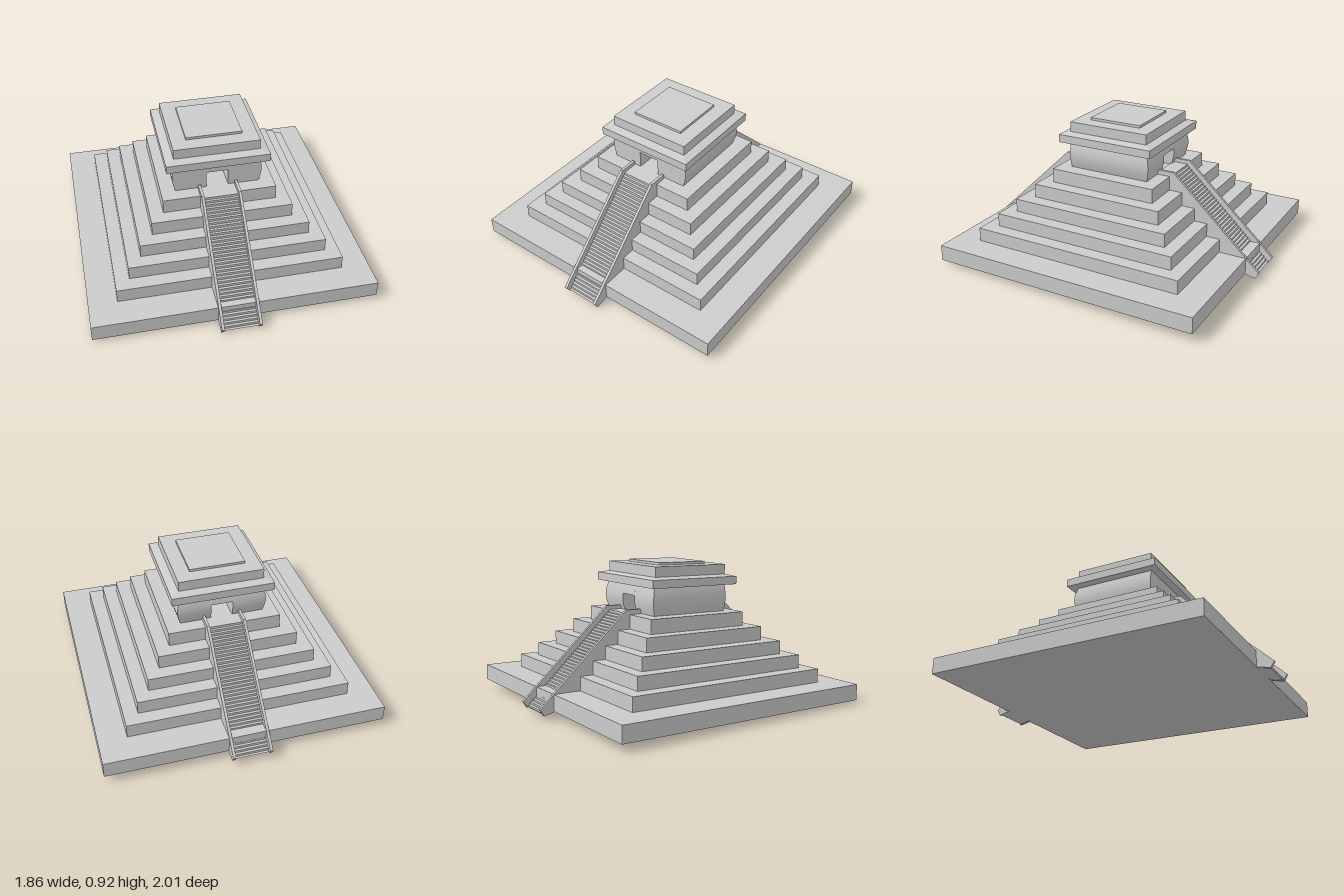
import * as THREE from 'three';

const grey = new THREE.MeshStandardMaterial({ color: 0xcccccc });

export function createModel() {
  const model = new THREE.Group();
  model.name = 'steppedPyramid';

  const add = (name, geometry, parent = model) => {
    const mesh = new THREE.Mesh(geometry, grey);
    mesh.name = name;
    parent.add(mesh);
    return mesh;
  };

  // Square slab between two heights; the top may be narrower than the bottom
  const slab = (name, half, y0, y1, topHalf = half) => {
    const geo = new THREE.BoxGeometry(2 * half, y1 - y0, 2 * half);
    const p = geo.attributes.position;
    for (let i = 0; i < p.count; i++) {
      if (p.getY(i) > 0) {
        p.setX(i, Math.sign(p.getX(i)) * topHalf);
        p.setZ(i, Math.sign(p.getZ(i)) * topHalf);
      }
    }
    geo.computeVertexNormals();
    add(name, geo).position.y = (y0 + y1) / 2;
  };

  // Terraces
  const halves = [0.9, 0.72, 0.63, 0.542, 0.452, 0.364];
  const levels = [0, 0.105, 0.195, 0.283, 0.37, 0.46, 0.553];
  halves.forEach((h, i) => slab('terrace' + (i + 1), h, levels[i], levels[i + 1]));

  // Temple walls: sides and back bulge outwards, the front is flat
  const wallBase = 0.553, wallTop = 0.735;
  const wall = (name, x0, x1, y0) => {
    const geo = new THREE.BoxGeometry(x1 - x0, wallTop - y0, 0.555, 1, 10, 1);
    geo.translate((x0 + x1) / 2, (y0 + wallTop) / 2, 0);
    const p = geo.attributes.position;
    for (let i = 0; i < p.count; i++) {
      const bulge = Math.sin(Math.PI * (p.getY(i) - wallBase) / (wallTop - wallBase));
      const x = p.getX(i);
      if (Math.abs(x) > 0.2) p.setX(i, x + Math.sign(x) * 0.018 * bulge);
      if (p.getZ(i) < 0) p.setZ(i, p.getZ(i) - 0.017 * bulge);
    }
    geo.computeVertexNormals();
    add(name, geo);
  };
  wall('templeWallLeft', 0.07, 0.27, wallBase);
  wall('templeWallRight', -0.27, -0.07, wallBase);
  wall('doorLintel', -0.07, 0.07, 0.664);

  // Partition closing half of the passage
  add('passagePartition', new THREE.BoxGeometry(0.07, 0.111, 0.02)).position.set(-0.035, 0.6085, -0.1);

  // Roof
  slab('cornice', 0.33, 0.733, 0.785);
  slab('corniceSlope', 0.33, 0.785, 0.797, 0.275);
  slab('roofSlab', 0.275, 0.797, 0.862);
  slab('roofCap', 0.18, 0.862, 0.878);

  // Profile drawn as (z, y), extruded across x and centred on x
  const extrudeAcross = (points, width, x) => {
    const shape = new THREE.Shape(points.map(([z, y]) => new THREE.Vector2(-z, y)));
    const geo = new THREE.ExtrudeGeometry(shape, { depth: width, bevelEnabled: false });
    geo.rotateY(Math.PI / 2);
    geo.translate(x - width / 2, 0, 0);
    return geo;
  };

  // Stairway: many small steps between two sloping side walls
  const railProfile = [
    [0.28, 0.584], [0.4, 0.584], [1.0, 0.02], [0.975, -0.02], [0.88, 0.002], [0.28, 0.002],
  ];
  const steps = 36, zTop = 0.385, zEnd = 0.977, yTop = 0.558, yEnd = -0.008;
  const stepProfile = [[0.28, 0.004], [0.28, yTop], [zTop, yTop]];
  for (let i = 0; i < steps; i++) {
    const z = zTop + (zEnd - zTop) * i / steps;
    const y = yTop + (yEnd - yTop) * (i + 1) / steps;
    stepProfile.push([z, y], [z + (zEnd - zTop) / steps, y]);
  }
  stepProfile.push([0.97, -0.016], [0.88, 0.004]);

  const makeStairway = (name, turn) => {
    const stairs = new THREE.Group();
    stairs.name = name;
    add('steps', extrudeAcross(stepProfile, 0.222, 0), stairs);
    for (const side of [-1, 1]) {
      add(side > 0 ? 'sideWallLeft' : 'sideWallRight', extrudeAcross(railProfile, 0.018, side * 0.118), stairs);
    }
    stairs.rotation.y = turn;
    stairs.position.z = 0.01;
    model.add(stairs);
  };
  makeStairway('frontStairway', 0);
  makeStairway('backStairway', Math.PI);

  // Slight lean and turn of the whole building
  model.rotation.set(0.0155, 0.033, 0.0055);
  model.position.set(0, 0.04, -0.015);

  const root = new THREE.Group();
  root.name = 'pyramidTemple';
  root.add(model);
  return root;
}
